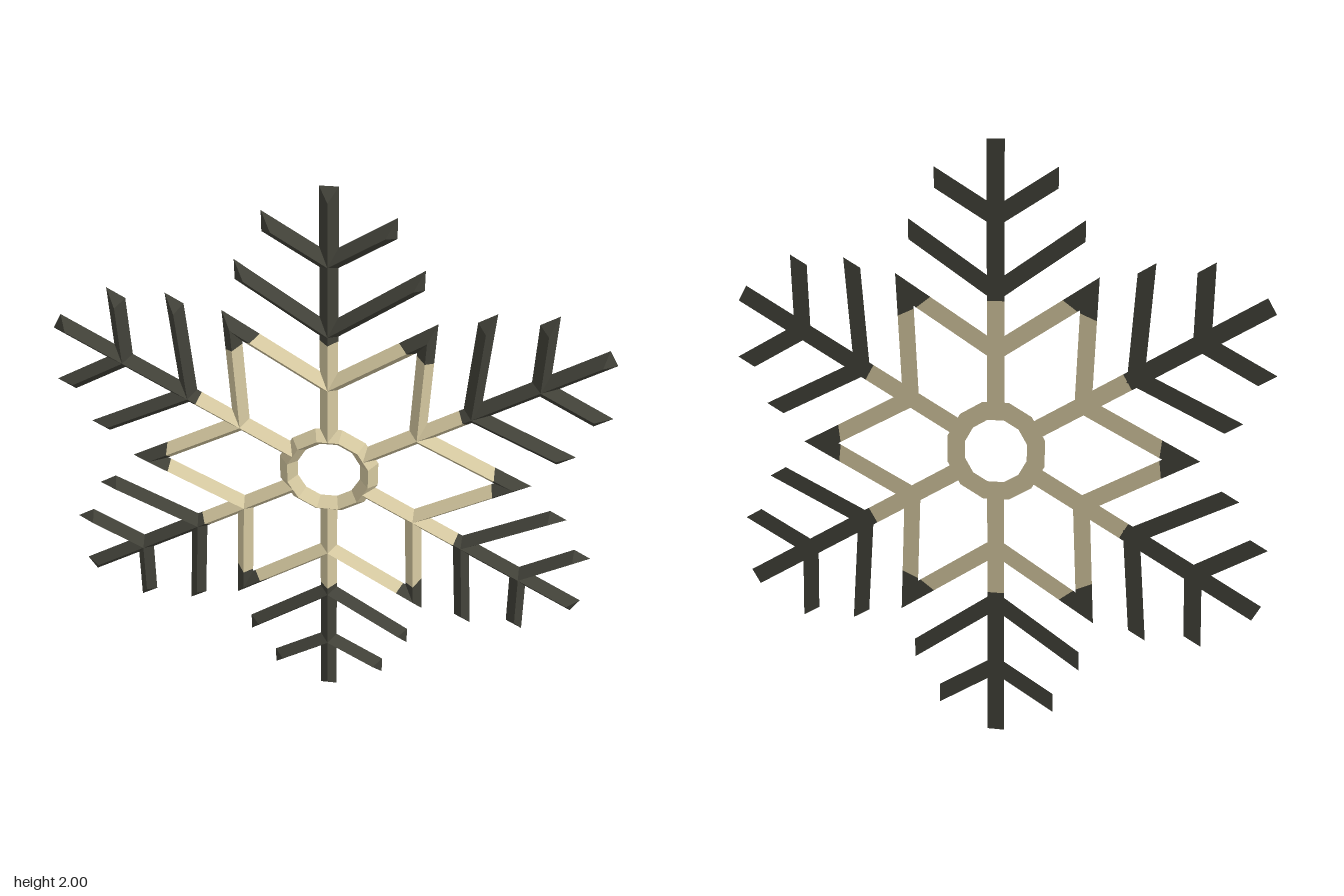
import * as THREE from 'three';

const BACK = -0.018, RIDGE = 0.018;
const HALF = 0.029; // half width of a bar

// Bar with a flat back and a ridged front, swept through sections [left, ridge, right] of xy points.
function ridgedBar(name, material, sections, mirror = false) {
  let s = sections.map(([l, m, r]) => [[...l, BACK], [...m, RIDGE], [...r, BACK]]);
  if (mirror) {
    s = s.map(([l, m, r]) => [r, m, l].map(([x, y, z]) => [-x, y, z]))
      .map(([a, m, b]) => [a, m, b]);
  }
  const pos = [];
  const tri = (a, b, c) => pos.push(...a, ...b, ...c);
  const quad = (a, b, c, d) => { tri(a, b, c); tri(a, c, d); };
  for (let i = 0; i < s.length - 1; i++) {
    const [l0, m0, r0] = s[i], [l1, m1, r1] = s[i + 1];
    quad(l0, m0, m1, l1);
    quad(m0, r0, r1, m1);
    quad(r0, l0, l1, r1);
  }
  const [l0, m0, r0] = s[0], [l1, m1, r1] = s[s.length - 1];
  tri(r0, m0, l0);
  tri(l1, m1, r1);
  const g = new THREE.BufferGeometry();
  g.setAttribute('position', new THREE.Float32BufferAttribute(pos, 3));
  g.computeVertexNormals();
  const mesh = new THREE.Mesh(g, material);
  mesh.name = name;
  return mesh;
}

// Upright section across a spoke; the ridge may be set back for a hipped end.
const across = (y, setBack = 0) => [[-HALF, y], [0, y - setBack], [HALF, y]];

// Side branch rising from the spoke, cut parallel to it at the tip.
function branch(y0, x1, y1) {
  const h = 0.033, k = 1 - 0.032 / x1;
  return [
    [[0, y0 + h], [0, y0], [0, y0 - h]],
    [[x1, y1 + h], [x1 * k, y0 + (y1 - y0) * k], [x1, y1 - h]],
  ];
}

// Star outlines (outer, ridge, inner): radius on the spoke and radius at the point.
const STAR = [[0.365, 0.667], [0.332, 0.607], [0.299, 0.546]];
const starSection = (ts) => STAR.map(([a, b], i) => [
  ts[i] * b * Math.sin(Math.PI / 6),
  a + ts[i] * (b * Math.cos(Math.PI / 6) - a),
]);

export function createModel() {
  const cream = new THREE.MeshStandardMaterial({ color: 0xdacda4 });
  cream.name = 'cream';
  const dark = new THREE.MeshStandardMaterial({ color: 0x43433a });
  dark.name = 'charcoal';

  const model = new THREE.Group();
  model.name = 'snowflake';
  const flake = new THREE.Group();
  flake.name = 'flake';
  flake.position.y = 1;
  model.add(flake);

  // Twelve-sided central ring
  const ring = [];
  for (let i = 0; i <= 12; i++) {
    const a = (i + 0.5) * Math.PI / 6;
    ring.push([0.108, 0.139, 0.17].map((r) => [r * Math.cos(a), r * Math.sin(a)]));
  }
  flake.add(ridgedBar('centreRing', cream, ring));

  // Six identical arms
  const start = starSection([0, 0, 0]);
  const split = starSection([0.65, 0.8, 0.97]);
  const point = starSection([1, 1, 1]);
  for (let i = 0; i < 6; i++) {
    const arm = new THREE.Group();
    arm.name = 'arm' + (i + 1);
    arm.rotation.z = i * Math.PI / 3;
    arm.add(ridgedBar('innerSpoke', cream, [across(0.135), across(0.495)]));
    arm.add(ridgedBar('outerSpoke', dark, [across(0.495), across(1, 0.038)]));
    for (const [side, mirror] of [['left', false], ['right', true]]) {
      const add = (name, mat, sections) =>
        arm.add(ridgedBar(side + name, mat, mirror ? [...sections].reverse().map(([l, m, r]) => [r, m, l])
          .map(([r, m, l]) => [l, m, r]).map((c) => c).reverse() : sections, mirror));
      add('LongBranch', dark, branch(0.525, 0.287, 0.72));
      add('ShortBranch', dark, branch(0.76, 0.2, 0.882));
      add('StarBar', cream, [start, split]);
      add('StarPoint', dark, [split, point]);
    }
    flake.add(arm);
  }
  return model;
}
